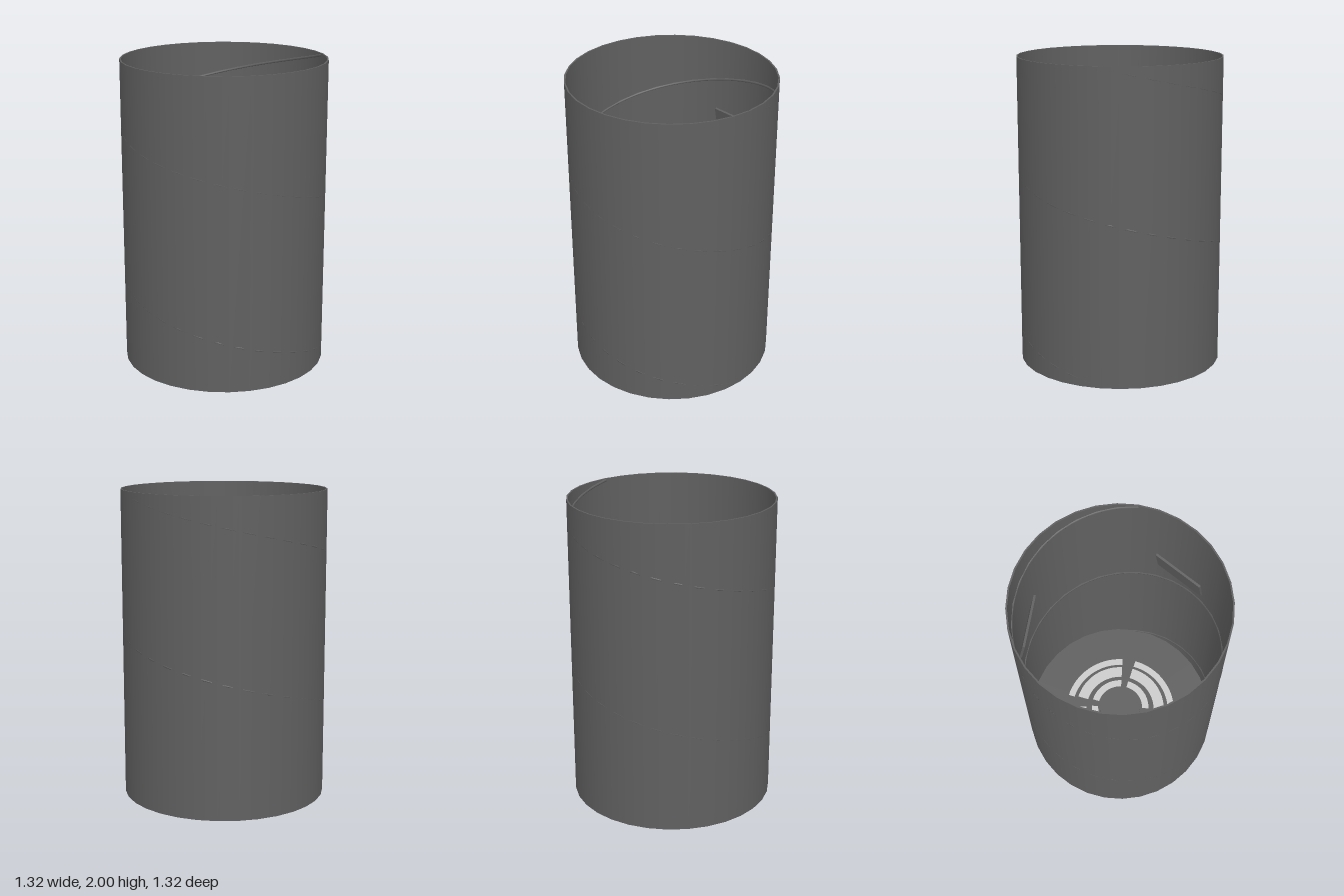
import * as THREE from 'three';

const SIDES = 32, R = 0.66, WALL = 0.01;

export function createModel() {
  const model = new THREE.Group();
  const dark = new THREE.MeshStandardMaterial({ color: 0x606060, side: THREE.DoubleSide });
  const light = new THREE.MeshStandardMaterial({ color: 0xcccccc });

  const add = (name, geometry, material = dark, parent = model) => {
    const mesh = new THREE.Mesh(geometry, material);
    mesh.name = name;
    parent.add(mesh);
    return mesh;
  };

  // Open-topped round shell: outer wall, inner wall, rim and floor
  add('outerWall', new THREE.CylinderGeometry(R, R, 2, SIDES, 1, true)).position.y = 1;
  add('innerWall', new THREE.CylinderGeometry(R - WALL, R - WALL, 2, SIDES, 1, true)).position.y = 1;
  add('rim', new THREE.RingGeometry(R - WALL, R, SIDES).rotateX(-Math.PI / 2)).position.y = 2;
  add('floor', new THREE.CylinderGeometry(R, R, 0.012, SIDES)).position.y = 0.006;

  // Thin strip winding twice down the wall, starting and ending at +x
  const points = [];
  for (let i = 0; i <= 64; i++) {
    const t = i / 32, a = t * Math.PI * 2;
    const y = 1.99 - t * 0.99 + 0.06 * Math.sin(t * Math.PI / 2);
    points.push(new THREE.Vector3(0.65 * Math.cos(a), y, -0.65 * Math.sin(a)));
  }
  add('spiralStrip', new THREE.TubeGeometry(new THREE.CatmullRomCurve3(points), 160, 0.009, 6));

  // Three wide panels near the wall, leaning inwards at the top
  for (let i = 0; i < 3; i++) {
    const mount = new THREE.Group();
    mount.name = 'panelMount';
    mount.rotation.y = i * Math.PI * 2 / 3;
    const panel = add('panel', new THREE.BoxGeometry(0.35, 0.2, 0.015), dark, mount);
    panel.position.set(0, 1.435, -0.585);
    panel.rotation.x = THREE.MathUtils.degToRad(10);
    model.add(mount);
  }

  // Stepped round platform with four pale inlays on each step
  const step = 0.03, gap = THREE.MathUtils.degToRad(7);
  const tiers = [
    { r: 0.41, inner: 0.35, outer: 0.395 },
    { r: 0.335, inner: 0.245, outer: 0.32 },
    { r: 0.225, inner: 0.16, outer: 0.207 },
    { r: 0.145 },
  ];
  tiers.forEach(({ r, inner, outer }, level) => {
    const top = 0.012 + step * (level + 1);
    add('platformStep', new THREE.CylinderGeometry(r, r, step, 48)).position.y = top - step / 2;
    if (!inner) return;
    for (let q = 0; q < 4; q++) {
      const from = q * Math.PI / 2 + gap, to = (q + 1) * Math.PI / 2 - gap;
      const shape = new THREE.Shape();
      shape.absarc(0, 0, outer, from, to, false);
      shape.absarc(0, 0, inner, to, from, true);
      const inlay = new THREE.ExtrudeGeometry(shape, { depth: 0.004, bevelEnabled: false, curveSegments: 12 });
      add('stepInlay', inlay.rotateX(-Math.PI / 2), light).position.y = top;
    }
  });

  return model;
}
